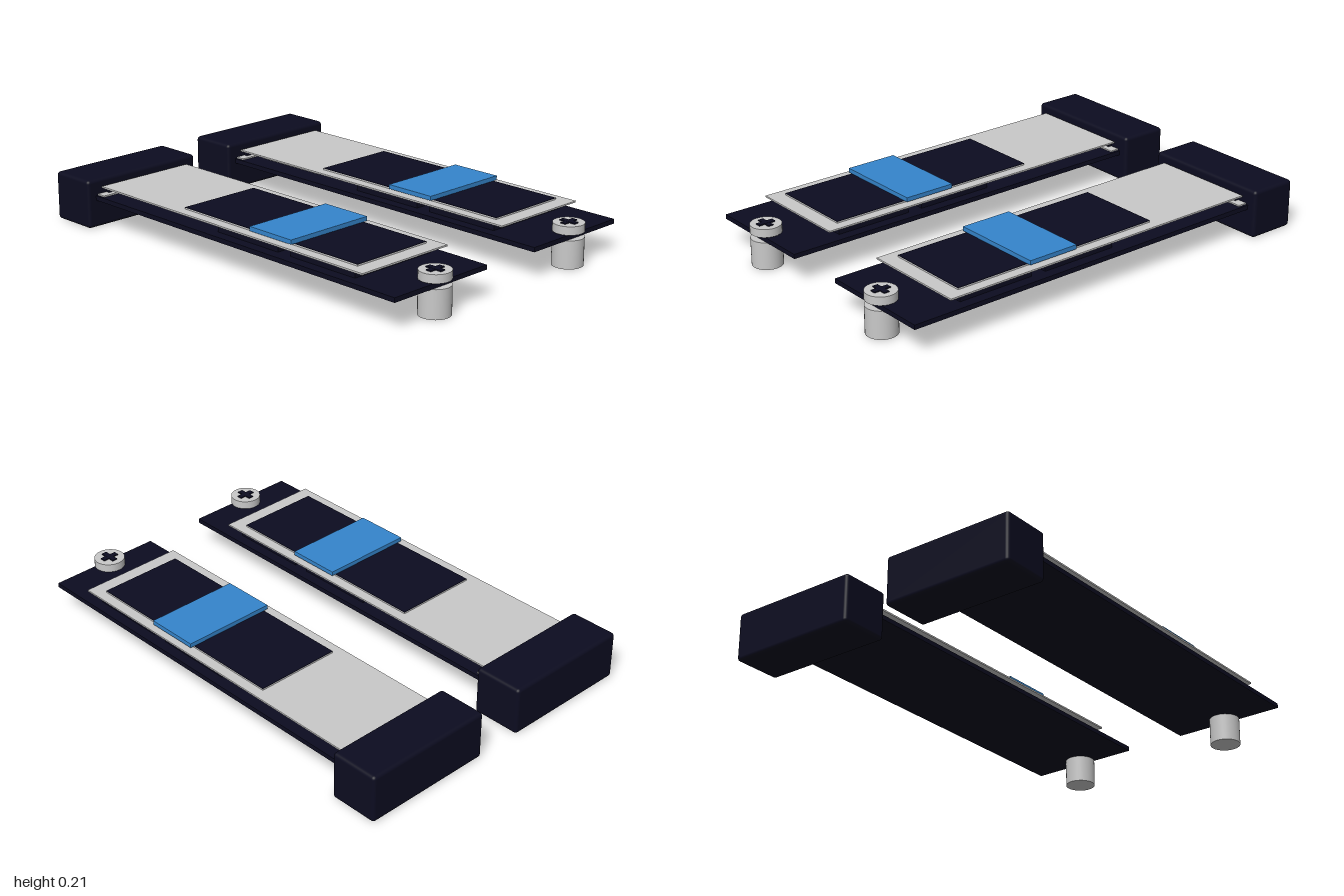
import * as THREE from 'three';
import { RoundedBoxGeometry } from 'three/addons/geometries/RoundedBoxGeometry.js';

const mat = (name, color) => {
  const m = new THREE.MeshStandardMaterial({ color });
  m.name = name;
  return m;
};

export function createModel() {
  const dark = mat('dark navy', 0x0c0c20);
  const silver = mat('light grey', 0xc9c9c9);
  const blue = mat('blue', 0x3585cc);

  const add = (parent, name, geometry, material) => {
    const mesh = new THREE.Mesh(geometry, material);
    mesh.name = name;
    parent.add(mesh);
    return mesh;
  };

  // Box given by its limits on each axis
  const box = (parent, name, material, [x0, x1], [y0, y1], [z0, z1]) => {
    const mesh = add(parent, name, new THREE.BoxGeometry(x1 - x0, y1 - y0, z1 - z0), material);
    mesh.position.set((x0 + x1) / 2, (y0 + y1) / 2, (z0 + z1) / 2);
    return mesh;
  };

  const cylinder = (parent, name, material, r, y0, y1) => {
    const mesh = add(parent, name, new THREE.CylinderGeometry(r, r, y1 - y0, 32), material);
    mesh.position.set(0.934, (y0 + y1) / 2, 0);
    return mesh;
  };

  function makeCard() {
    const card = new THREE.Group();
    card.name = 'storageCard';

    // Socket block with a lip around the card edge
    const socket = add(card, 'socket', new RoundedBoxGeometry(0.22, 0.212, 0.594, 3, 0.015), dark);
    socket.position.set(-0.89, 0.106, 0);
    box(card, 'socketLip', dark, [-0.79, -0.762], [0.1, 0.165], [-0.2, 0.2]);

    // Circuit board
    box(card, 'circuitBoard', dark, [-0.79, 0.968], [0.121, 0.141], [-0.256, 0.256]);

    // Edge contacts on both faces, split by the key notch
    for (const [z0, z1] of [[-0.245, 0.11], [0.15, 0.245]]) {
      box(card, 'topContacts', silver, [-0.78, -0.738], [0.141, 0.147], [z0, z1]);
      box(card, 'bottomContacts', silver, [-0.78, -0.755], [0.118, 0.121], [z0, z1]);
    }

    // Chips under the label
    box(card, 'smallComponent', silver, [-0.695, -0.65], [0.141, 0.163], [0.05, 0.16]);
    box(card, 'controller', silver, [-0.665, -0.34], [0.141, 0.172], [-0.16, 0.16]);
    box(card, 'cacheChip', dark, [-0.3, -0.11], [0.141, 0.166], [-0.13, 0.13]);
    for (const x of [-0.05, 0.37]) {
      box(card, 'memoryChip', dark, [x, x + 0.35], [0.141, 0.17], [-0.21, 0.21]);
    }

    // Label with its dark printed panel and raised blue band
    box(card, 'label', silver, [-0.765, 0.783], [0.175, 0.182], [-0.236, 0.236]);
    box(card, 'panelBase', silver, [-0.275, 0.714], [0.182, 0.188], [-0.19, 0.19]);
    box(card, 'panel', dark, [-0.275, 0.714], [0.188, 0.19], [-0.19, 0.19]);
    box(card, 'blueBand', blue, [0.138, 0.375], [0.19, 0.209], [-0.21, 0.21]);

    // Standoff and cross-head screw
    cylinder(card, 'standoff', silver, 0.066, 0, 0.121);
    cylinder(card, 'screwShaft', dark, 0.03, 0.121, 0.146);
    cylinder(card, 'screwHead', silver, 0.066, 0.144, 0.18);
    box(card, 'screwSlot', dark, [0.896, 0.972], [0.18, 0.185], [-0.012, 0.012]);
    box(card, 'screwSlot', dark, [0.922, 0.946], [0.18, 0.1845], [-0.038, 0.038]);
    return card;
  }

  const model = new THREE.Group();
  model.name = 'storageCardPair';
  for (const z of [-0.398, 0.398]) {
    const card = makeCard();
    card.position.z = z;
    model.add(card);
  }
  return model;
}
